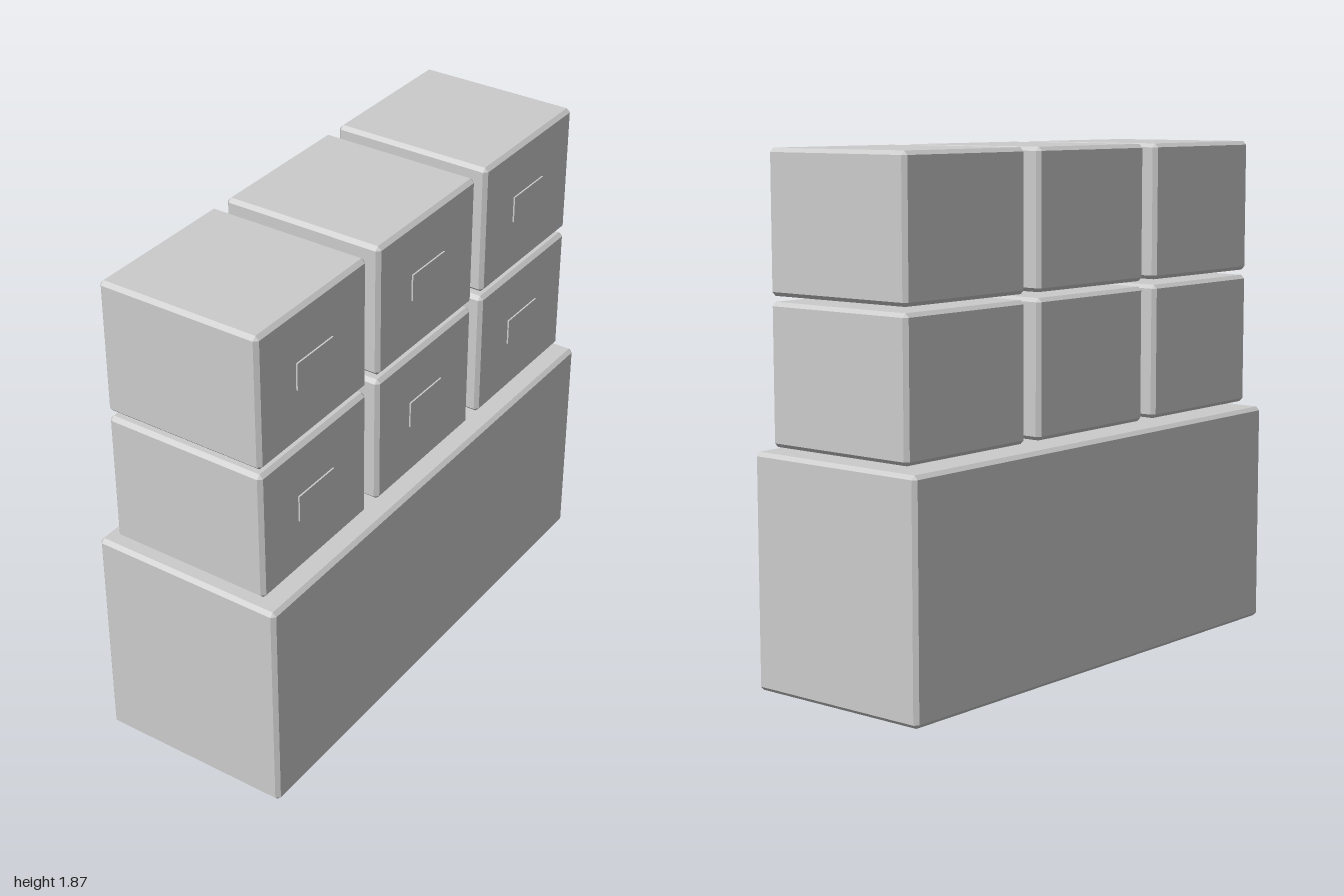
import * as THREE from 'three';
import { ConvexGeometry } from 'three/addons/geometries/ConvexGeometry.js';

const material = new THREE.MeshStandardMaterial({ color: 0xcccccc, flatShading: true });

// Box with flat 45-degree chamfers: three points per corner, one on each face
function chamferedBox(w, h, d, c) {
  const points = [];
  for (const sx of [-1, 1]) for (const sy of [-1, 1]) for (const sz of [-1, 1]) {
    for (let face = 0; face < 3; face++) {
      const inset = [0, 1, 2].map((axis) => (axis === face ? 0 : c));
      points.push(new THREE.Vector3(
        sx * (w / 2 - inset[0]), sy * (h / 2 - inset[1]), sz * (d / 2 - inset[2])));
    }
  }
  return new ConvexGeometry(points);
}

function addPart(parent, name, geometry, x, y, z) {
  const mesh = new THREE.Mesh(geometry, material);
  mesh.name = name;
  mesh.position.set(x, y, z);
  parent.add(mesh);
}

export function createModel() {
  const model = new THREE.Group();
  model.name = 'stackedCrates';

  // Long base block
  addPart(model, 'base', chamferedBox(0.744, 0.838, 2, 0.014), 0, 0.419, 0);

  // Two tiers of three crates, each with a label plate on its +x side
  const crateGeometry = chamferedBox(0.624, 0.496, 0.602, 0.014);
  const labelGeometry = new THREE.BoxGeometry(0.01, 0.1, 0.2);
  [1.105, 1.621].forEach((y, tier) => {
    [-0.67, 0, 0.67].forEach((z, column) => {
      const crate = new THREE.Group();
      crate.name = `crate_${tier + 1}_${column + 1}`;
      crate.position.set(0, y, z);
      addPart(crate, 'crateBody', crateGeometry, 0, 0, 0);
      addPart(crate, 'labelPlate', labelGeometry, 0.313, 0.005, 0);
      model.add(crate);
    });
  });
  return model;
}
